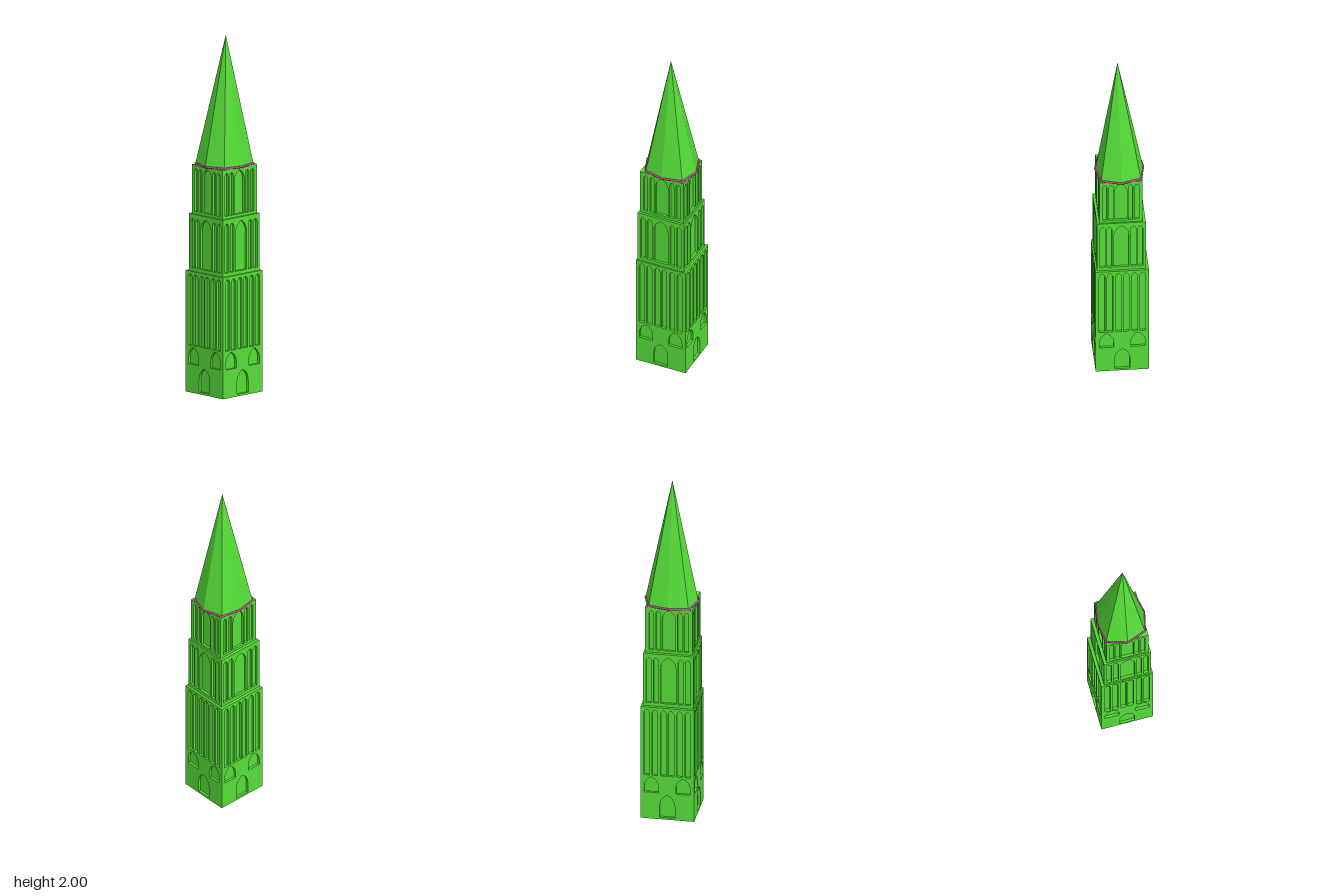
import * as THREE from 'three';

const stone = new THREE.MeshStandardMaterial({ color: 0x55dd38, flatShading: true });
const trim = new THREE.MeshStandardMaterial({ color: 0xd43fa4 });
const DEPTH = 0.014; // how far the arches are sunk into the walls

function add(parent, name, geometry, material = stone) {
  const mesh = new THREE.Mesh(geometry, material);
  mesh.name = name;
  parent.add(mesh);
  return mesh;
}

// Pointed arch outline: centre x, width, sill height, top height
function pointedArch([x, w, y0, y1]) {
  const h = w / 2, spring = y1 - w * 0.8;
  const p = new THREE.Path();
  p.moveTo(x - h, y0);
  p.lineTo(x + h, y0);
  p.lineTo(x + h, spring);
  p.quadraticCurveTo(x + h, y1 - w * 0.25, x, y1);
  p.quadraticCurveTo(x - h, y1 - w * 0.25, x - h, spring);
  p.lineTo(x - h, y0);
  return p;
}

// Wall slab pierced by arches, outer face at z = DEPTH
function wallPanel(width, y0, y1, arches) {
  const h = width / 2;
  const s = new THREE.Shape([
    new THREE.Vector2(-h, y0), new THREE.Vector2(h, y0),
    new THREE.Vector2(h, y1), new THREE.Vector2(-h, y1),
  ]);
  s.holes = arches.map(pointedArch);
  return new THREE.ExtrudeGeometry(s, { depth: DEPTH, bevelEnabled: false, curveSegments: 5 });
}

// Square storey: solid core clad in four arcaded panels
function storey(parent, name, { hx, hz, cx, cz, y0, y1, arches }) {
  const group = new THREE.Group();
  group.name = name;
  group.position.set(cx, 0, cz);
  const ix = hx - DEPTH, iz = hz - DEPTH;
  add(group, 'core', new THREE.BoxGeometry(ix * 2, y1 - y0, iz * 2)).position.y = (y0 + y1) / 2;
  for (let i = 0; i < 4; i++) {
    const side = i % 2 === 1;
    const scale = side ? hz / hx : 1;
    const fitted = arches.map(([x, w, a, b]) => [x * scale, w * scale, a, b]);
    const panel = add(group, 'arcadedWall', wallPanel(side ? iz * 2 : hx * 2, y0, y1, fitted));
    const angle = i * Math.PI / 2, reach = side ? ix : iz;
    panel.rotation.y = angle;
    panel.position.set(Math.sin(angle) * reach, 0, Math.cos(angle) * reach);
  }
  parent.add(group);
}

const mirrored = (list) => list.flatMap(([x, ...rest]) => [[x, ...rest], [-x, ...rest]]);

// Eight-sided pyramid with an off-centre apex and closed underside
function spireGeometry(rim, apex, y) {
  const pts = [];
  const n = rim.length;
  for (let i = 0; i < n; i++) {
    const a = rim[i], b = rim[(i + 1) % n];
    pts.push(a[0], y, a[1], b[0], y, b[1], ...apex);
    pts.push(b[0], y, b[1], a[0], y, a[1], 0, y, 0.005);
  }
  const g = new THREE.BufferGeometry();
  g.setAttribute('position', new THREE.Float32BufferAttribute(pts, 3));
  g.computeVertexNormals();
  return g;
}

export function createModel() {
  const tower = new THREE.Group();
  tower.name = 'tower';

  // Base with doors, small windows and tall lancets
  storey(tower, 'lowerStorey', {
    hx: 0.15, hz: 0.147, cx: 0, cz: 0, y0: 0, y1: 0.68,
    arches: [
      [0, 0.085, 0.012, 0.147],
      ...mirrored([[0.088, 0.08, 0.16, 0.255]]),
      ...mirrored([[0.021, 0.032, 0.265, 0.665], [0.069, 0.032, 0.265, 0.665], [0.114, 0.032, 0.265, 0.665]]),
    ],
  });

  // Middle and upper storeys: wide arch flanked by narrow ones
  storey(tower, 'middleStorey', {
    hx: 0.14, hz: 0.134, cx: -0.003, cz: 0.004, y0: 0.68, y1: 1.0,
    arches: [[0, 0.085, 0.7, 0.98], ...mirrored([[0.069, 0.029, 0.7, 0.975], [0.109, 0.029, 0.7, 0.975]])],
  });
  storey(tower, 'upperStorey', {
    hx: 0.132, hz: 0.119, cx: -0.003, cz: 0.006, y0: 1.0, y1: 1.275,
    arches: [[0, 0.075, 1.015, 1.262], ...mirrored([[0.06, 0.025, 1.015, 1.255], [0.098, 0.025, 1.015, 1.255]])],
  });

  // Spire; rim corners run anticlockwise seen from above (x, z)
  const rim = [
    [0, 0.137], [0.115, 0.113], [0.148, 0.005], [0.112, -0.106],
    [0, -0.127], [-0.112, -0.11], [-0.147, 0.003], [-0.106, 0.112],
  ];
  const y = 1.278;
  add(tower, 'spire', spireGeometry(rim, [0, 2, 0.014], y));

  // Coloured moulding round the eaves
  const ring = new THREE.Group();
  ring.name = 'eavesMoulding';
  const up = new THREE.Vector3(0, 1, 0);
  rim.forEach(([x, z], i) => {
    const [x2, z2] = rim[(i + 1) % rim.length];
    const a = new THREE.Vector3(x, y, z), b = new THREE.Vector3(x2, y, z2);
    const rod = add(ring, 'mouldingRod', new THREE.CylinderGeometry(0.006, 0.006, a.distanceTo(b), 10), trim);
    rod.position.copy(a).add(b).multiplyScalar(0.5);
    rod.quaternion.setFromUnitVectors(up, b.sub(a).normalize());
    add(ring, 'mouldingJoint', new THREE.SphereGeometry(0.006, 10, 8), trim).position.copy(a);
  });
  tower.add(ring);
  return tower;
}
